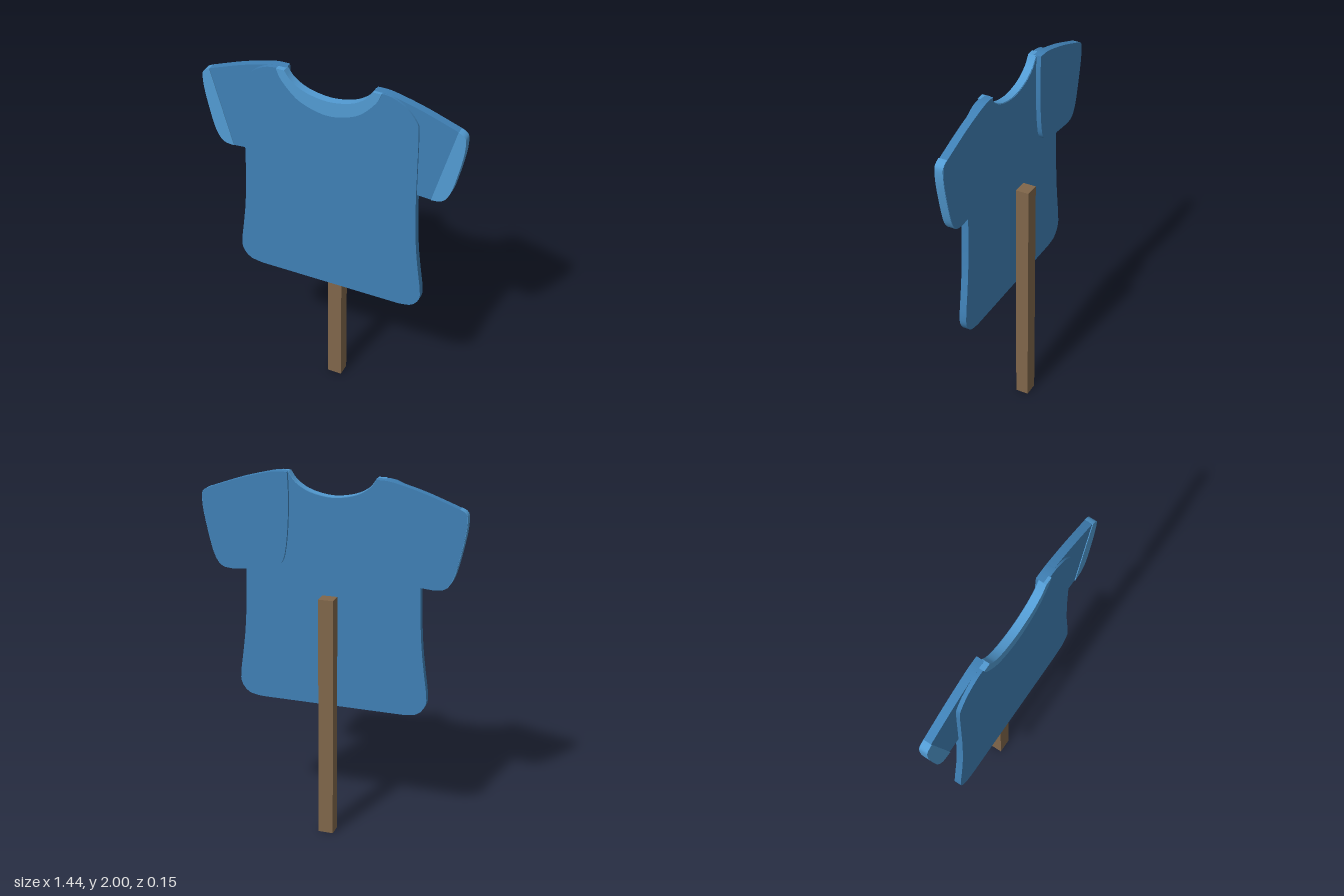
import * as THREE from 'three';
import { toCreasedNormals } from 'three/addons/utils/BufferGeometryUtils.js';

const cloth = new THREE.MeshStandardMaterial({ color: 0x3f80b5 });
const trim = new THREE.MeshStandardMaterial({ color: 0x529bd3 });
const wood = new THREE.MeshStandardMaterial({ color: 0x80664a });

// Smooth run of points through a few control points
function curve(points, steps = 24) {
  const vectors = points.map(([x, y]) => new THREE.Vector2(x, y));
  return vectors.length < 3 ? vectors : new THREE.SplineCurve(vectors).getPoints(steps);
}

const mirror = (points) => points.map(([x, y]) => [-x, y]).reverse();

// Closed flat panel made of smooth runs that meet at corners
function panel(name, runs, back, front, material) {
  const outline = runs.flatMap((run) => curve(run));
  const clean = outline.filter((p, i) => i === 0 || p.distanceTo(outline[i - 1]) > 1e-4);
  if (clean[0].distanceTo(clean[clean.length - 1]) < 1e-4) clean.pop();
  const geometry = new THREE.ExtrudeGeometry(new THREE.Shape(clean), {
    depth: front - back, bevelEnabled: false,
  });
  geometry.translate(0, 0, back);
  const mesh = new THREE.Mesh(toCreasedNormals(geometry, 0.6), material);
  mesh.name = name;
  return mesh;
}

export function createModel() {
  const group = new THREE.Group();
  group.name = 'shirtSign';

  // Shirt body
  const side = [
    [0.4, 0.725], [0.475, 0.738], [0.518, 0.785], [0.526, 0.85], [0.5, 1.05],
    [0.486, 1.23], [0.48, 1.46], [0.48, 1.82], [0.465, 1.89], [0.41, 1.955],
    [0.34, 1.992], [0.28, 2.0],
  ];
  const neck = [
    [0.24, 1.999], [0.2, 1.945], [0.12, 1.9], [0, 1.88],
    [-0.12, 1.9], [-0.2, 1.945], [-0.24, 1.999],
  ];
  group.add(panel('shirtBody', [side, neck, mirror(side)], 0.029, 0.068, cloth));

  // Collar band along the neckline
  const collarOuter = [
    [-0.283, 2.0], [-0.255, 1.94], [-0.175, 1.855], [-0.085, 1.814], [0, 1.8],
    [0.085, 1.814], [0.175, 1.855], [0.255, 1.94], [0.283, 2.0],
  ];
  const collarInner = neck.map(([x, y]) => [x * 0.99, Math.min(y + 0.003, 2)]);
  group.add(panel('collar', [collarOuter, collarInner], 0.032, 0.075, trim));

  // Sleeves behind the body, at slightly different depths
  const shoulder = [[0.24, 2.0], [0.31, 1.998], [0.41, 1.975], [0.52, 1.942], [0.677, 1.885]];
  const cuffEdge = [
    [0.677, 1.885], [0.707, 1.868], [0.718, 1.835], [0.708, 1.735], [0.667, 1.555],
    [0.637, 1.485], [0.605, 1.457], [0.555, 1.45],
  ];
  const inner = [
    [0.555, 1.45], [0.42, 1.462], [0.32, 1.483], [0.272, 1.515], [0.25, 1.6],
    [0.237, 1.75], [0.235, 1.9], [0.24, 2.0],
  ];
  for (const [s, label, back] of [[1, 'left', 0.015], [-1, 'right', 0.003]]) {
    const flip = (run) => run.map(([x, y]) => [s * x, y]);
    const front = back + 0.043;
    group.add(panel(label + 'Sleeve', [shoulder, cuffEdge, inner].map(flip), back, front, cloth));

    // Cuff stands just proud of the sleeve
    const cuff = cuffEdge.map(([x, y]) => [x + 0.002, y]);
    group.add(panel(label + 'Cuff', [flip(cuff)], back + 0.002, front + 0.004, trim));
  }

  // Square post
  const post = new THREE.Mesh(new THREE.BoxGeometry(0.082, 1.36, 0.073), wood);
  post.name = 'post';
  post.position.set(0, 0.68, -0.0385);
  group.add(post);

  return group;
}
